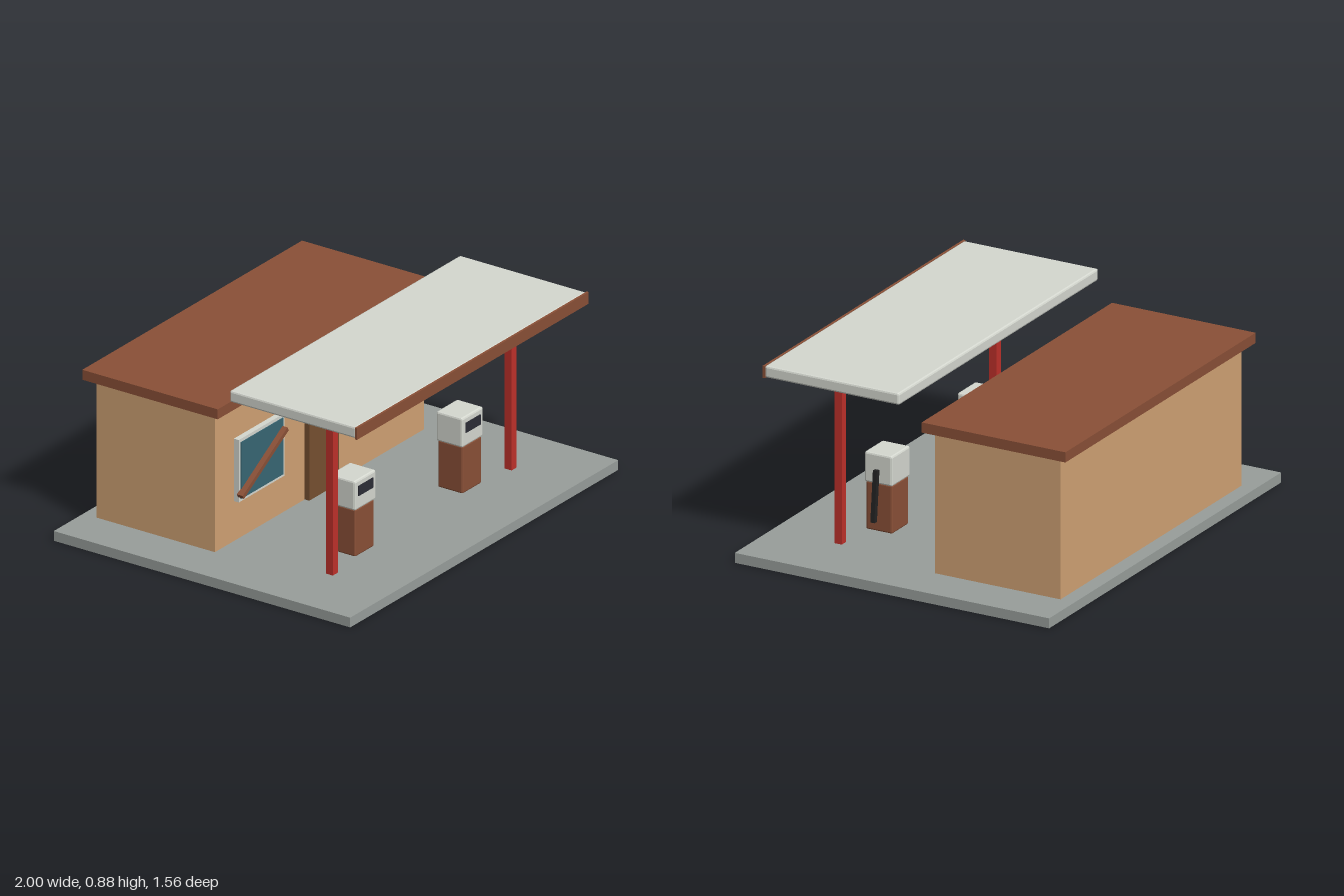
import * as THREE from 'three';
import { RoundedBoxGeometry } from 'three/addons/geometries/RoundedBoxGeometry.js';

const mat = (color) => new THREE.MeshStandardMaterial({ color, flatShading: true });
const concrete = mat(0x989e9b), wall = mat(0xd0a274), brick = mat(0x8a5037), pale = mat(0xd5d8d0);
const red = mat(0xbe302a), glass = mat(0x386674), wood = mat(0x765031), dark = mat(0x222222), screenMat = mat(0x2c2d36);

// Box given by its extents on each axis; a bevel softens its edges
function box(parent, name, material, [x0, x1], [y0, y1], [z0, z1], bevel = 0) {
  const size = [x1 - x0, y1 - y0, z1 - z0];
  const geometry = bevel ? new RoundedBoxGeometry(...size, 1, bevel) : new THREE.BoxGeometry(...size);
  const mesh = new THREE.Mesh(geometry, material);
  mesh.name = name;
  mesh.position.set((x0 + x1) / 2, (y0 + y1) / 2, (z0 + z1) / 2);
  parent.add(mesh);
  return mesh;
}

function group(parent, name, x = 0) {
  const g = new THREE.Group();
  g.name = name;
  g.position.x = x;
  parent.add(g);
  return g;
}

function addPump(parent, name, x) {
  const pump = group(parent, name, x);
  box(pump, 'pumpBase', brick, [-0.071, 0.071], [0.045, 0.268], [0.305, 0.435], 0.007);
  box(pump, 'pumpHead', pale, [-0.079, 0.079], [0.265, 0.405], [0.301, 0.439], 0.009);
  box(pump, 'pumpDisplay', screenMat, [-0.055, 0.055], [0.33, 0.377], [0.43, 0.443]);
  // Hose leaning outward down the side
  const hose = box(pump, 'pumpHose', dark, [0.095, 0.118], [0.103, 0.337], [0.36, 0.38]);
  hose.rotation.z = 0.095;
}

function addWindow(parent, name, x) {
  const win = group(parent, name, x);
  box(win, 'windowFrame', pale, [-0.17, 0.17], [0.235, 0.53], [-0.09, -0.061]);
  box(win, 'windowGlass', glass, [-0.157, 0.157], [0.248, 0.515], [-0.08, -0.057]);
}

export function createModel() {
  const model = new THREE.Group();
  model.name = 'fillingStation';

  // Forecourt slab
  box(model, 'forecourt', concrete, [-1, 1], [0, 0.046], [-0.78, 0.78]);

  // Shop building
  const shop = group(model, 'shop');
  box(shop, 'walls', wall, [-0.78, 0.78], [0.046, 0.7], [-0.71, -0.087]);
  box(shop, 'roof', brick, [-0.82, 0.82], [0.7, 0.747], [-0.757, -0.044]);
  box(shop, 'door', wood, [-0.11, 0.11], [0.046, 0.515], [-0.09, -0.063]);
  addWindow(shop, 'rightWindow', -0.469);
  addWindow(shop, 'leftWindow', 0.467);

  // Plank nailed diagonally across one window
  const plank = box(shop, 'plank', wood, [-0.675, -0.285], [0.36, 0.38], [-0.062, -0.031]);
  plank.rotation.z = 0.54;
  plank.material = brick;

  // Canopy on two posts
  const canopy = group(model, 'canopy');
  box(canopy, 'canopyRoof', pale, [-0.86, 0.86], [0.82, 0.875], [0.046, 0.713], 0.009);
  box(canopy, 'fascia', brick, [-0.865, 0.865], [0.82, 0.875], [0.709, 0.72]);
  for (const side of [-1, 1]) {
    const x = side * 0.667;
    box(canopy, side < 0 ? 'rightPost' : 'leftPost', red, [x - 0.019, x + 0.019], [0.046, 0.825], [0.43, 0.467]);
  }

  // Fuel pumps
  addPump(model, 'rightPump', -0.402);
  addPump(model, 'leftPump', 0.398);

  return model;
}
